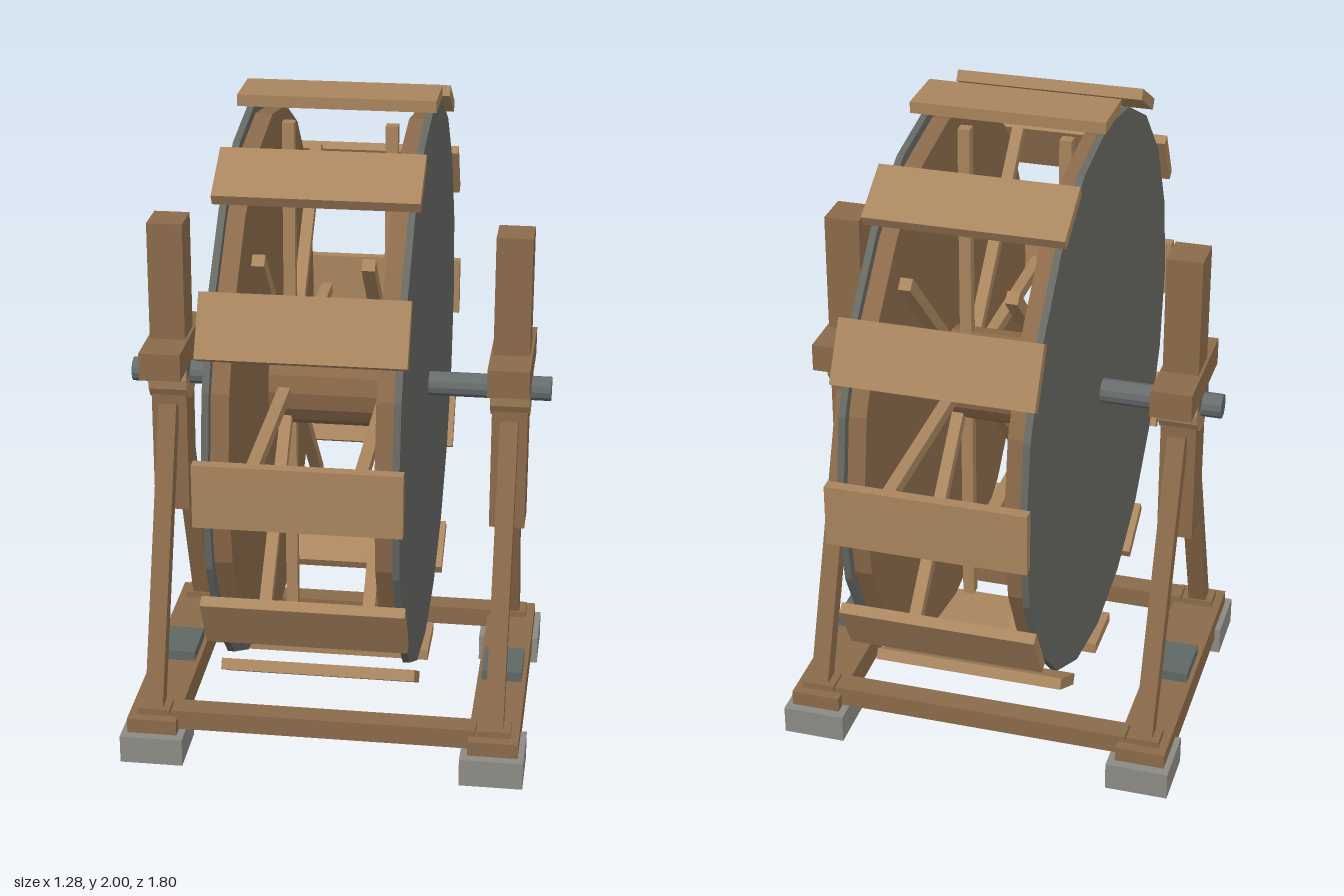
import * as THREE from 'three';

const mat = (color) => new THREE.MeshStandardMaterial({ color, flatShading: true });
const WOOD = mat(0x8b6a4a), LIGHT = mat(0xa8855e), DISC = mat(0x666862);
const IRON = mat(0x666b6c), STONE = mat(0x8c8b84), SLAB = mat(0x5f6865);
const AXLE_Y = 1.1;

function add(parent, name, geometry, material, x = 0, y = 0, z = 0) {
  const mesh = new THREE.Mesh(geometry, material);
  mesh.name = name;
  mesh.position.set(x, y, z);
  parent.add(mesh);
  return mesh;
}
const box = (w, h, d) => new THREE.BoxGeometry(w, h, d);
// cylinder lying along x
const drum = (r, len, sides) => new THREE.CylinderGeometry(r, r, len, sides).rotateZ(Math.PI / 2);

// square bar between two points in a plane of constant x
function bar(parent, name, material, size, x, y1, z1, y2, z2) {
  const len = Math.hypot(y2 - y1, z2 - z1);
  const mesh = add(parent, name, box(size, len, size), material, x, (y1 + y2) / 2, (z1 + z2) / 2);
  mesh.rotation.x = Math.atan2(z2 - z1, y2 - y1);
  return mesh;
}

function createWheel() {
  const wheel = new THREE.Group();
  wheel.name = 'wheel';
  wheel.position.y = AXLE_Y;

  add(wheel, 'axle', drum(0.037, 1.28, 12), IRON);
  add(wheel, 'hub', drum(0.14, 0.4, 16), WOOD);

  for (const s of [-1, 1]) {
    add(wheel, 'sidePlate', drum(0.85, 0.02, 20), DISC, s * 0.261);
    add(wheel, 'innerDisc', drum(0.82, 0.052, 20), WOOD, s * 0.226);
    for (let i = 0; i < 8; i++) {
      const a = (i * Math.PI) / 4;
      const c = Math.cos(a), n = Math.sin(a);
      bar(wheel, 'spoke', LIGHT, 0.036, s * 0.152, c * 0.1, n * 0.1, c * 0.8, n * 0.8);
    }
  }

  // paddles around the rim
  for (let i = 0; i < 12; i++) {
    const a = (i * Math.PI) / 6;
    const paddle = add(wheel, 'paddle', box(0.575, 0.034, 0.184), LIGHT,
      0, Math.cos(a) * 0.883, Math.sin(a) * 0.883);
    paddle.rotation.x = a;
  }
  return wheel;
}

function createSupport(s) {
  const support = new THREE.Group();
  support.name = s > 0 ? 'leftSupport' : 'rightSupport';
  const x = s * 0.52;

  // upright, clamp block and bearing around the axle
  add(support, 'post', box(0.108, 0.93, 0.122), WOOD, x, 1.125, 0);
  add(support, 'clampBlock', box(0.125, 0.085, 0.378), WOOD, x, 1.182, 0);
  add(support, 'bearing', drum(0.084, 0.118, 16), LIGHT, x, AXLE_Y, 0);
  add(support, 'bearingCap', box(0.121, 0.034, 0.14), SLAB, x, 1.122, 0);

  // base beam with the slab at its middle
  add(support, 'baseBeam', box(0.152, 0.085, 0.925), WOOD, x, 0.0925, 0);
  add(support, 'baseSlab', box(0.125, 0.032, 0.162), SLAB, x, 0.153, 0);

  for (const e of [-1, 1]) {
    bar(support, 'leg', WOOD, 0.055, x, 0.15, e * 0.393, 1.015, e * 0.065);
    add(support, 'legSeat', box(0.1, 0.02, 0.074), WOOD, x, 0.145, e * 0.393);
    add(support, 'footing', box(0.192, 0.088, 0.192), STONE, s * 0.518, 0.044, e * 0.395);
  }
  return support;
}

export function createModel() {
  const model = new THREE.Group();
  model.name = 'waterWheel';
  model.add(createWheel(), createSupport(1), createSupport(-1));

  // beams joining the two supports
  for (const e of [-1, 1]) {
    add(model, 'crossBeam', box(0.93, 0.062, 0.072), WOOD, 0, 0.124, e * 0.394);
  }
  return model;
}
